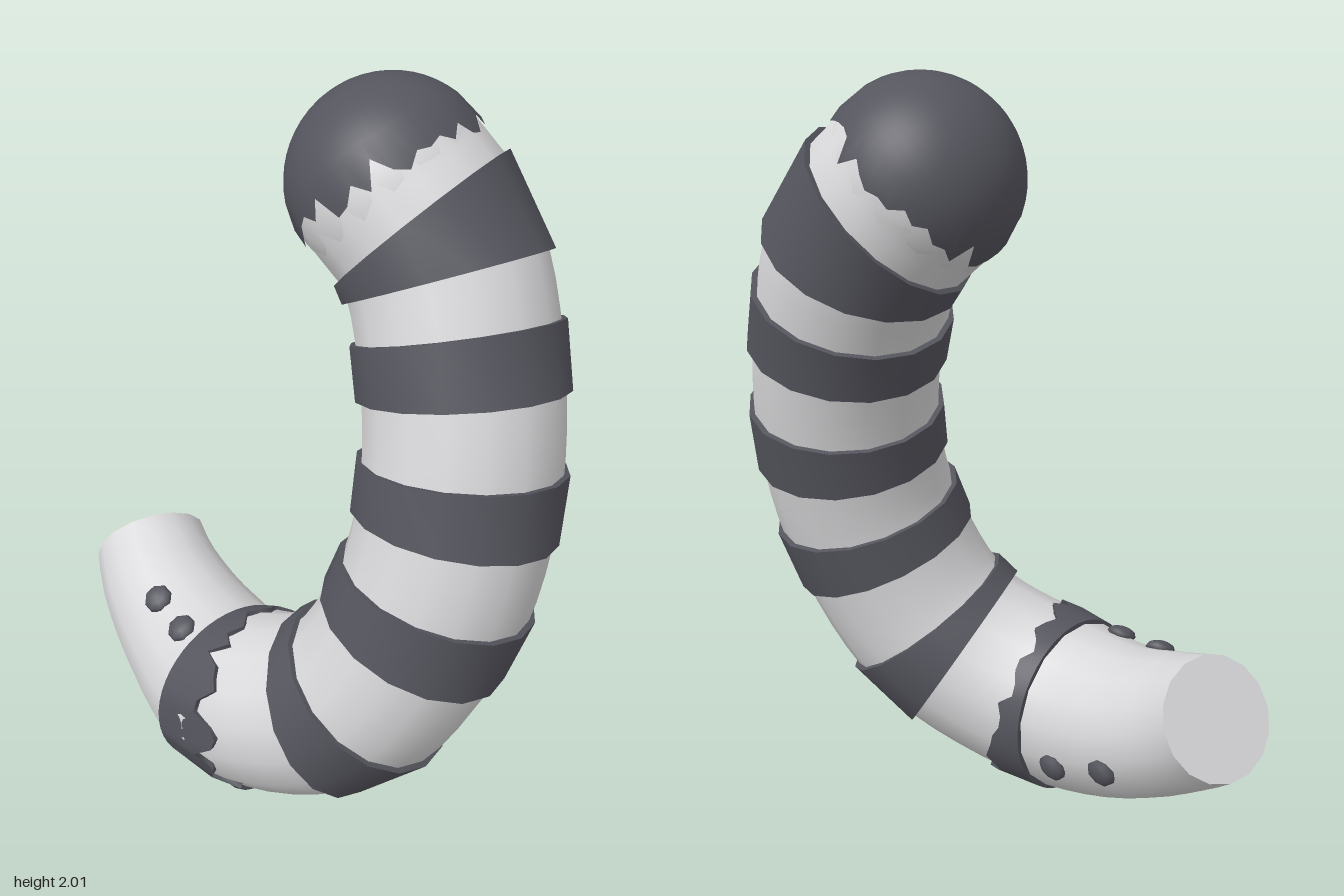
import * as THREE from 'three';
import { mergeGeometries } from 'three/addons/utils/BufferGeometryUtils.js';

const V = (x, y, z) => new THREE.Vector3(x, y, z);

export function createModel() {
  const group = new THREE.Group();
  const paleFur = new THREE.MeshStandardMaterial({ name: 'paleFur', color: 0xd9d8da });
  const darkFur = new THREE.MeshStandardMaterial({ name: 'darkFur', color: 0x55555e });

  function add(name, geometry, material, parent = group) {
    const mesh = new THREE.Mesh(geometry, material);
    mesh.name = name;
    parent.add(mesh);
    return mesh;
  }

  // Small seeded generator for the ragged fur edges
  let seed = 11;
  const rand = () => (seed = (seed * 16807) % 2147483647) / 2147483647;

  // Centre line from the cut base to the tip
  const bandCentres = [
    V(-0.22, 0.25, 0.03), V(0.02, 0.40, 0.265), V(0.19, 0.73, 0.35),
    V(0.27, 1.045, 0.32), V(0.29, 1.355, 0.225), V(0.26, 1.61, 0.10),
  ];
  const tip = V(0.17, 1.742, 0.003);
  const curve = new THREE.CatmullRomCurve3([
    V(-0.405, 0.42, -0.54), V(-0.39, 0.355, -0.42), V(-0.325, 0.27, -0.22),
    ...bandCentres, tip,
  ]);
  curve.arcLengthDivisions = 600;
  const length = curve.getLength();
  const STEPS = 400;
  const frames = curve.computeFrenetFrames(STEPS);
  const samples = curve.getSpacedPoints(STEPS);

  const nearestU = (p) => {
    let best = 0;
    samples.forEach((s, i) => {
      if (s.distanceToSquared(p) < samples[best].distanceToSquared(p)) best = i;
    });
    return best / STEPS;
  };
  const neckU = nearestU(bandCentres[0]);
  const radius = (u) => THREE.MathUtils.lerp(0.165, 0.25, Math.min(1, u / neckU));

  // Point on the tail at position u, angle a and distance r from the centre line
  function at(u, a, r) {
    const i = Math.round(THREE.MathUtils.clamp(u, 0, 1) * STEPS);
    return samples[i].clone()
      .addScaledVector(frames.normals[i], r * Math.cos(a))
      .addScaledVector(frames.binormals[i], r * Math.sin(a));
  }

  // Closed strip through rings; each ring gives [u, r] for side j
  function strip(rings, sides) {
    const pos = [], index = [];
    rings.forEach((ring, i) => {
      for (let j = 0; j < sides; j++) {
        const [u, r] = ring(j);
        pos.push(...at(u, (j / sides) * Math.PI * 2, r).toArray());
        if (i === rings.length - 1) continue;
        const a = i * sides + j, b = i * sides + ((j + 1) % sides);
        index.push(a, b, a + sides, b, b + sides, a + sides);
      }
    });
    const g = new THREE.BufferGeometry();
    g.setAttribute('position', new THREE.Float32BufferAttribute(pos, 3));
    g.setIndex(index);
    g.computeVertexNormals();
    return g;
  }

  // Pale tail with a flat cut end and a rounded tip
  const bodyRings = Array.from({ length: 41 }, (_, i) => () => [i / 40, radius(i / 40)]);
  add('tailBody', strip(bodyRings, 16), paleFur);
  add('cutEnd', strip([() => [0, 0], () => [0, 0.165]], 16), paleFur);
  add('tipCore', new THREE.SphereGeometry(0.25, 24, 16), paleFur).position.copy(tip);

  // Raised bands with sharp rims; the one nearest the base has a ragged edge
  const bands = new THREE.Group();
  bands.name = 'bands';
  group.add(bands);
  bandCentres.forEach((centre, k) => {
    const ragged = k === 0;
    const sides = ragged ? 48 : 16;
    const u = nearestU(centre), half = 0.077 / length;
    const edge = Array.from({ length: sides }, () =>
      u + half * (ragged ? 0.35 + 0.9 * rand() : 1));
    const ring = (end, lift) => (j) => {
      const v = end ? edge[j] : u - half;
      return [v, radius(v) + lift];
    };
    const low = -0.02, high = ragged ? 0.01 : 0.015;
    add('band' + (k + 1), mergeGeometries([
      strip([ring(0, low), ring(0, high)], sides),
      strip([ring(0, high), ring(1, high)], sides),
      strip([ring(1, high), ring(1, low)], sides),
    ]), darkFur, bands);
  });

  // Dark tip cap with a ragged lower edge
  const around = 48, down = 12, R = 0.258;
  const cap = new THREE.SphereGeometry(R, around, down, 0, Math.PI * 2, 0, Math.PI * 0.42);
  const p = cap.attributes.position, n = cap.attributes.normal;
  const jag = Array.from({ length: around }, () => Math.PI * (0.44 + 0.09 * rand()));
  for (let j = 0; j <= around; j++) {
    const phi = (j / around) * Math.PI * 2, theta = jag[j % around];
    const dir = V(-Math.cos(phi) * Math.sin(theta), Math.cos(theta), Math.sin(phi) * Math.sin(theta));
    const i = down * (around + 1) + j;
    n.setXYZ(i, dir.x, dir.y, dir.z);
    p.setXYZ(i, dir.x * R, dir.y * R, dir.z * R);
  }
  const tipCap = add('tipCap', cap, darkFur);
  tipCap.position.copy(tip);
  tipCap.quaternion.setFromUnitVectors(V(0, 1, 0), V(-0.42, 0.74, -0.52).normalize());

  // Three pairs of small flattened spots around the base
  const spots = new THREE.Group();
  spots.name = 'spots';
  group.add(spots);
  [
    V(-0.43, 0.45, -0.20), V(-0.385, 0.44, -0.06),
    V(-0.18, 0.225, -0.36), V(-0.11, 0.18, -0.215),
    V(-0.46, 0.13, -0.30), V(-0.39, 0.06, -0.13),
  ].forEach((target, k) => {
    const u = nearestU(target);
    const centre = curve.getPointAt(u);
    const out = target.clone().sub(centre).normalize();
    const spot = add('spot' + (k + 1), new THREE.SphereGeometry(1, 8, 6), darkFur, spots);
    spot.scale.set(0.042, 0.022, 0.042);
    spot.position.copy(centre).addScaledVector(out, radius(u) + 0.002);
    spot.quaternion.setFromUnitVectors(V(0, 1, 0), out);
  });

  return group;
}
